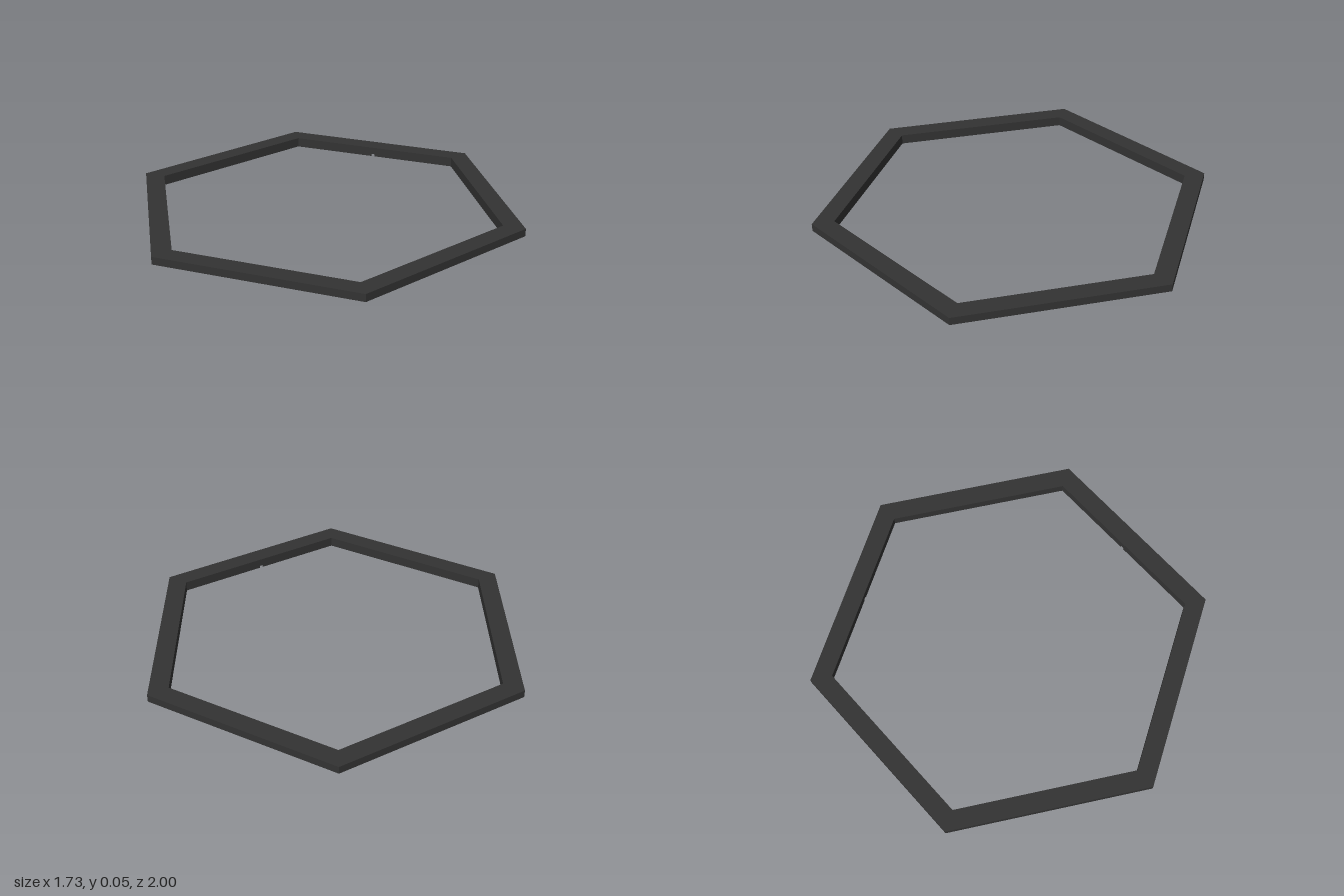
import * as THREE from 'three';

const SIDES = 6;
const INNER = 0.773;   // distance from centre to the inner faces
const OUTER = 0.866;   // distance from centre to the outer faces
const RIM_Y = 0.012;   // underside of the outer rim
const TOP_Y = 0.05;
const WALL = 0.004;    // thickness of the inner lip

export function createModel() {
  const model = new THREE.Group();
  const material = new THREE.MeshStandardMaterial({
    color: 0x333333, flatShading: true, side: THREE.DoubleSide,
  });

  // Hexagonal frame: a profile with a recess underneath, swept round six sides
  const toCorner = 1 / Math.cos(Math.PI / SIDES);
  const profile = [
    [OUTER, RIM_Y], [OUTER, TOP_Y], [INNER, TOP_Y], [INNER, RIM_Y],
    [INNER + WALL, RIM_Y], [INNER + WALL, 0.035],
    [0.825, 0.035], [0.825, RIM_Y], [OUTER, RIM_Y],
  ].map(([d, y]) => new THREE.Vector2(d * toCorner, y));
  const frame = new THREE.Mesh(new THREE.LatheGeometry(profile, SIDES), material);
  frame.name = 'hexagonalFrame';
  model.add(frame);

  // Thin lip below the inner edge, notched in the middle of two sides
  const half = INNER * Math.tan(Math.PI / SIDES);
  const notchHalf = 0.01;
  for (let i = 0; i < SIDES; i++) {
    const side = new THREE.Group();
    side.name = 'innerLip';
    side.rotation.y = (i + 0.5) * Math.PI / 3;
    const gap = i === 0 || i === 2 ? notchHalf : 0;
    for (const s of [-1, 1]) {
      const piece = new THREE.Mesh(new THREE.BoxGeometry(half - gap, RIM_Y, WALL), material);
      piece.name = 'lipPiece';
      piece.position.set(s * (half + gap) / 2, RIM_Y / 2, INNER + WALL / 2);
      side.add(piece);
    }
    model.add(side);
  }
  return model;
}
